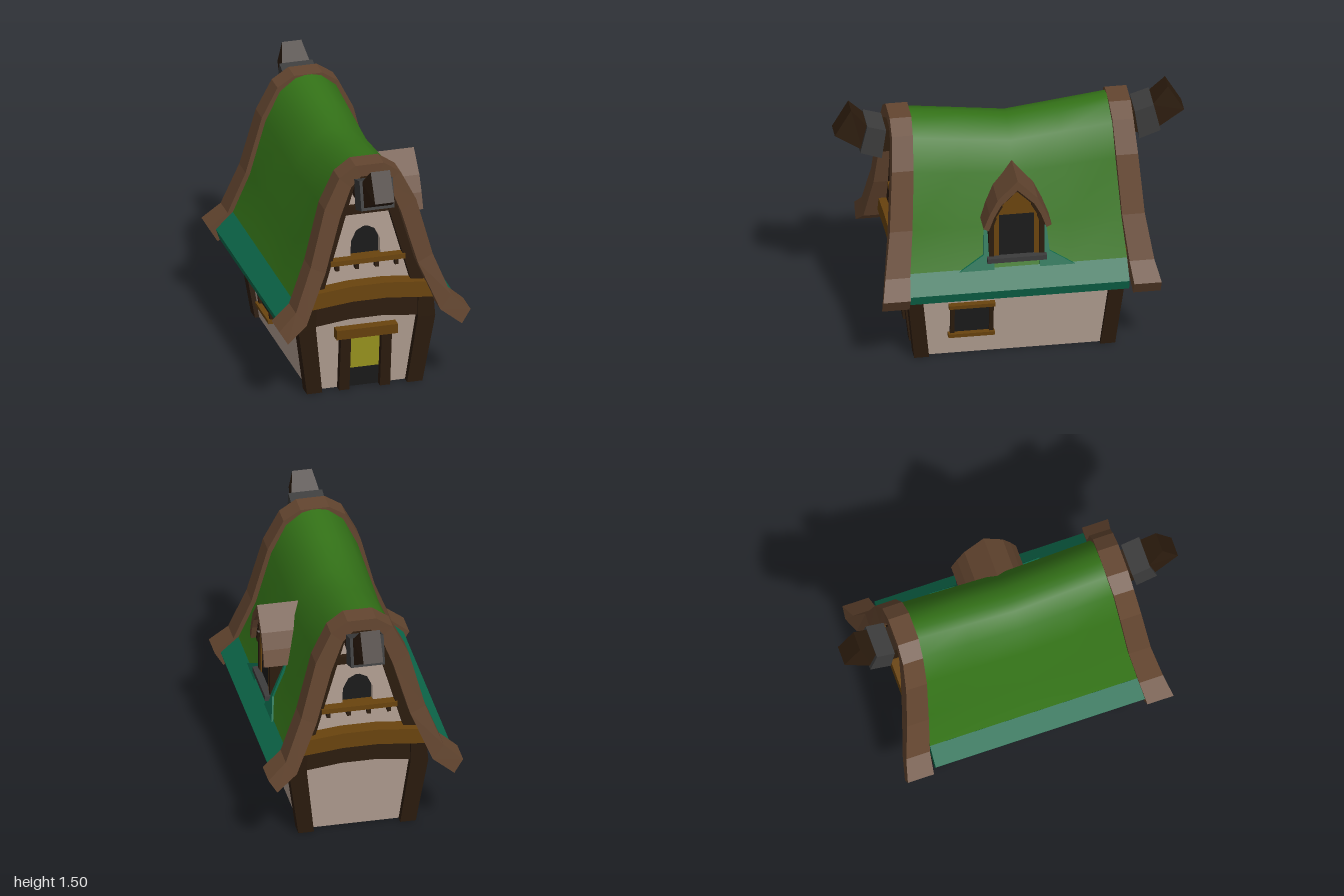
import * as THREE from 'three';
import { toCreasedNormals } from 'three/addons/utils/BufferGeometryUtils.js';

const mat = (color) => new THREE.MeshStandardMaterial({ color, flatShading: false, side: THREE.DoubleSide });
const M = {
  plaster: mat(0xb3a093), brown: mat(0x644630), dark: mat(0x2c1c0e), ochre: mat(0x6a440e),
  green: mat(0x347318), teal: mat(0x0d6a4c), slate: mat(0x3c3c3c), yellow: mat(0x9c981f), black: mat(0x1b1b1b),
};

// Skin closed rings of [x, y, z] points; faces are turned outward by the signed volume.
function loft(rings, caps = true, crease = 0) {
  const tris = [], n = rings[0].length;
  for (let r = 0; r < rings.length - 1; r++) {
    for (let i = 0; i < n; i++) {
      const j = (i + 1) % n, a = rings[r], b = rings[r + 1];
      tris.push([a[i], a[j], b[j]], [a[i], b[j], b[i]]);
    }
  }
  const end = rings[rings.length - 1];
  if (caps) {
    for (let i = 1; i < n - 1; i++) {
      tris.push([rings[0][0], rings[0][i + 1], rings[0][i]], [end[0], end[i], end[i + 1]]);
    }
  }
  let volume = 0;
  const v = (p) => new THREE.Vector3(...p);
  for (const [a, b, c] of tris) volume += v(a).dot(v(b).cross(v(c)));
  if (volume < 0) tris.forEach((t) => t.reverse());
  const geo = new THREE.BufferGeometry();
  geo.setAttribute('position', new THREE.Float32BufferAttribute(tris.flat(2), 3));
  geo.computeVertexNormals();
  return crease ? toCreasedNormals(geo, crease) : geo;
}

function add(group, name, geo, material) {
  const mesh = new THREE.Mesh(geo, material);
  mesh.name = name;
  group.add(mesh);
  return mesh;
}

// Rectangle [x0, x1, z0, z1] at height y, and a leaning block between rectangles
const rect = (y, [x0, x1, z0, z1]) => [[x0, y, z0], [x1, y, z0], [x1, y, z1], [x0, y, z1]];
const block = (y0, a, y1, b = a) => loft([rect(y0, a), rect(y1, b)]);
const mirrorX = (pts) => [...pts.map(([x, ...r]) => [-x, ...r]), ...[...pts].reverse()];

// Walls lean outward as they rise
const wallX = (y) => 0.315 + 0.13 * y;
const wallZ = (y) => 0.53 + 0.11 * y;
const onFront = (y0, y1, x0, x1, out) =>
  block(y0, [x0, x1, wallZ(y0) - 0.03, wallZ(y0) + out], y1, [x0, x1, wallZ(y1) - 0.03, wallZ(y1) + out]);
const onSide = (y0, y1, z0, z1, out) =>
  block(y0, [wallX(y0) - 0.03, wallX(y0) + out, z0, z1], y1, [wallX(y1) - 0.03, wallX(y1) + out, z0, z1]);

// Slab cut from a 2D outline, with optional hole
function slab(points, hole, depth) {
  const shape = new THREE.Shape(points.map((p) => new THREE.Vector2(...p)));
  if (hole) shape.holes.push(new THREE.Path(hole.map((p) => new THREE.Vector2(...p))));
  return new THREE.ExtrudeGeometry(shape, { depth, bevelEnabled: false });
}

// Everything found at both gable ends
function gableEnd() {
  const g = new THREE.Group();
  g.name = 'gableEnd';
  const arch = mirrorX([[0.088, 0.82], [0.086, 0.93], [0.055, 0.995], [0.012, 1.018]]);
  add(g, 'gableWall', slab([[-0.29, 0.55], [0.29, 0.55], [0.09, 1.31], [-0.09, 1.31]], arch, 0.06), M.plaster).position.z = 0.53;
  add(g, 'atticWindow', new THREE.BoxGeometry(0.22, 0.24, 0.01), M.black).position.set(0, 0.92, 0.54);
  for (const s of [-1, 1]) {
    const post = [[0, 0.25, 0.34, 0.49, 0.575], [0.42, 0.3, 0.403, 0.535, 0.62], [0.6, 0.3, 0.385, 0.54, 0.635]];
    add(g, 'cornerPost', loft(post.map(([y, a, b, c, d]) => rect(y, [s * a, s * b, c, d]))), M.dark);
    add(g, 'gableRafter', block(0.6, [s * 0.275, s * 0.35, 0.54, 0.635], 1.34, [s * 0.065, s * 0.135, 0.54, 0.635]), M.dark);
  }
  // Arched cross beams
  const beam = (w, y, rise, h, z0, z1) => loft([[-w, 0], [-0.1, rise], [0.1, rise], [w, 0]].map(([x, dy]) =>
    [[x, y + dy, z0], [x, y + h + dy, z0], [x, y + h + dy, z1], [x, y + dy, z1]]));
  add(g, 'lowerBeam', beam(0.35, 0.425, 0.03, 0.15, 0.52, 0.61), M.dark);
  add(g, 'upperBeam', beam(0.39, 0.565, 0.03, 0.095, 0.52, 0.68), M.ochre);
  add(g, 'collarBeam', block(1.11, [-0.15, 0.15, 0.54, 0.62], 1.16), M.dark);
  add(g, 'sillRail', block(0.81, [-0.22, 0.22, 0.56, 0.645], 0.84), M.ochre);
  for (const x of [-0.175, -0.058, 0.058, 0.175]) {
    add(g, 'railPeg', block(0.77, [x - 0.011, x + 0.011, 0.57, 0.625], 0.815), M.dark);
  }
  return g;
}

// Curved barge board with ridge pole and horn
function roofEnd() {
  const g = new THREE.Group();
  g.name = 'roofEnd';
  // outer x, y, inner x, y, back z, front z
  const half = [
    [0.564, 0.512, 0.513, 0.428, 0.64, 0.797], [0.458, 0.604, 0.394, 0.518, 0.628, 0.77],
    [0.36, 0.854, 0.272, 0.81, 0.6, 0.73], [0.27, 1.195, 0.18, 1.13, 0.58, 0.705],
    [0.18, 1.375, 0.11, 1.31, 0.572, 0.692], [0.083, 1.44, 0.05, 1.37, 0.565, 0.69],
  ];
  const path = [...half, ...[...half].reverse().map(([a, b, c, ...r]) => [-a, b, -c, ...r])];
  add(g, 'bargeBoard', loft(path.map(([ox, oy, ix, iy, z0, z1]) =>
    [[ox, oy, z0], [ox, oy, z1], [ix, iy, z1], [ix, iy, z0]])), M.brown);
  const face = (w, y0, z0, y1, z1) => [[-w, y0, z0], [w, y0, z0], [w, y1, z1], [-w, y1, z1]];
  add(g, 'ridgePole', loft([face(0.075, 1.22, 0.5, 1.36, 0.5), face(0.075, 1.22, 0.76, 1.355, 0.74)]), M.dark);
  add(g, 'ridgeCollar', loft([face(0.098, 1.19, 0.737, 1.37, 0.712), face(0.098, 1.235, 0.86, 1.405, 0.82)]), M.slate);
  add(g, 'ridgeHorn', loft([face(0.082, 1.245, 0.845, 1.395, 0.815), face(0.057, 1.335, 1.0, 1.495, 0.907)]), M.dark);
  return g;
}

function roof() {
  const g = new THREE.Group();
  g.name = 'roof';
  // x, y and half length; the middle of the ridge sags
  const outer = [[0.43, 0.61, 0.63], [0.335, 0.845, 0.61], [0.25, 1.17, 0.59], [0.165, 1.35, 0.585], [0.075, 1.425, 0.58], [0.02, 1.438, 0.58]];
  const inner = outer.map(([x, y, z]) => [x * 0.88, y - 0.045, z]);
  const ring = [...mirrorX(outer), ...mirrorX(inner).reverse()];
  const sag = (y, t) => y - 0.075 * Math.max(0, (y - 0.61) / 0.83) * (1 - Math.abs(t));
  const span = (pts, ts) => ts.map((t) => pts.map(([x, y, z]) => [x, sag(y, t), z * t]));
  add(g, 'thatch', loft(span(ring, [-1, -0.5, 0, 0.5, 1]), false, 0.75), M.green);
  for (const s of [-1, 1]) {
    const eave = [[0.43, 0.612], [0.53, 0.515], [0.51, 0.455], [0.385, 0.555]].map(([x, y]) => [s * x, y, 0.63]);
    add(g, 'eave', loft(span(eave, [-1, 1])), M.teal);
  }
  return g;
}

function dormer() {
  const g = new THREE.Group();
  g.name = 'dormer';
  // Outlines are drawn as (z, y) and run along x
  const along = (pts, x0, x1, caps) => loft([x0, x1].map((x) => pts.map(([z, y]) => [x, y, z])), caps);
  const bend = [[0.195, 0.885], [0.16, 0.975], [0.115, 1.065], [0, 1.185]];
  const under = [[0, 1.125], [0.095, 1.03], [0.135, 0.955], [0.165, 0.87]];
  for (const s of [-1, 1]) {
    const flip = (pts) => pts.map(([z, y]) => [s * z, y]);
    for (let i = 0; i < 3; i++) {
      add(g, 'dormerRoof', along(flip([bend[i], bend[i + 1], under[2 - i], under[3 - i]]), 0.14, 0.455), M.brown);
      add(g, 'dormerTrim', along(flip([under[i], under[i + 1], [under[i + 1][0] * 0.86, under[i + 1][1] - 0.012],
        [under[i][0] * 0.86, under[i][1] - 0.025]]), 0.2, 0.425), M.dark);
    }
    add(g, 'dormerPost', block(0.66, [0.2, 0.415, s * 0.13, s * 0.158], 0.9), M.dark);
    // Flashing lies on the roof slope beside the dormer
    const patch = [[0.13, 0.605], [0.33, 0.605], [0.19, 0.685], [0.175, 0.88], [0.13, 0.88]];
    const slope = (off) => patch.map(([z, y]) => [0.432 - (y - 0.61) * 0.404 + off, y, s * z]);
    add(g, 'flashing', loft([slope(-0.02), slope(0.008)]), M.teal);
  }
  const front = mirrorX([[0.14, 0.66], [0.14, 0.93], [0.095, 1.03], [0.01, 1.12]]);
  const opening = [[-0.1, 0.67], [0.1, 0.67], [0.1, 0.945], [-0.1, 0.945]];
  const wall = add(g, 'dormerFront', slab(front, opening, 0.2), M.ochre);
  wall.rotation.y = Math.PI / 2;
  wall.position.x = 0.21;
  add(g, 'dormerPane', block(0.66, [0.3, 0.404, -0.105, 0.105], 0.95), M.black);
  add(g, 'dormerSill', block(0.648, [0.36, 0.445, -0.17, 0.17], 0.678), M.slate);
  return g;
}

// Window, wall plate and pegs of one long side
function sideTrim() {
  const g = new THREE.Group();
  g.name = 'sideTrim';
  add(g, 'windowPane', onSide(0.15, 0.335, 0.145, 0.36, 0.004), M.black);
  for (const z of [0.137, 0.36]) add(g, 'windowPost', onSide(0.15, 0.335, z - 0.012, z + 0.012, 0.02), M.dark);
  for (const y of [0.13, 0.332]) add(g, 'windowRail', onSide(y, y + 0.024, 0.118, 0.383, 0.036), M.ochre);
  add(g, 'wallPlate', onSide(0.4, 0.435, -0.54, 0.54, 0.025), M.ochre);
  for (let i = -3; i <= 3; i++) add(g, 'eavePeg', onSide(0.43, 0.56, i * 0.15 - 0.016, i * 0.15 + 0.016, 0.015), M.dark);
  return g;
}

export function createModel() {
  const model = new THREE.Group();
  model.name = 'cottage';
  const house = new THREE.Group();
  house.name = 'house';
  house.position.z = 0.012;
  model.add(house);

  const wall = (y) => rect(y, [-wallX(y), wallX(y), -wallZ(y), wallZ(y)]);
  add(house, 'walls', loft([wall(0.002), wall(0.57)]), M.plaster);

  // Front door
  add(house, 'doorPanel', onFront(0.12, 0.345, -0.1, 0.1, 0.004), M.yellow);
  add(house, 'doorBase', onFront(0, 0.12, -0.1, 0.1, 0.003), M.black);
  for (const s of [-1, 1]) add(house, 'doorPost', onFront(0, 0.345, s * 0.09, s * 0.15, 0.045), M.dark);
  add(house, 'doorLintel', onFront(0.34, 0.4, -0.18, 0.18, 0.06), M.ochre);

  house.add(roof(), dormer());
  for (const turn of [0, Math.PI]) {
    const ends = gableEnd(), trim = sideTrim(), cap = roofEnd();
    for (const part of [ends, trim, cap]) part.rotation.y = turn;
    house.add(ends, trim);
    model.add(cap);
  }
  return model;
}
